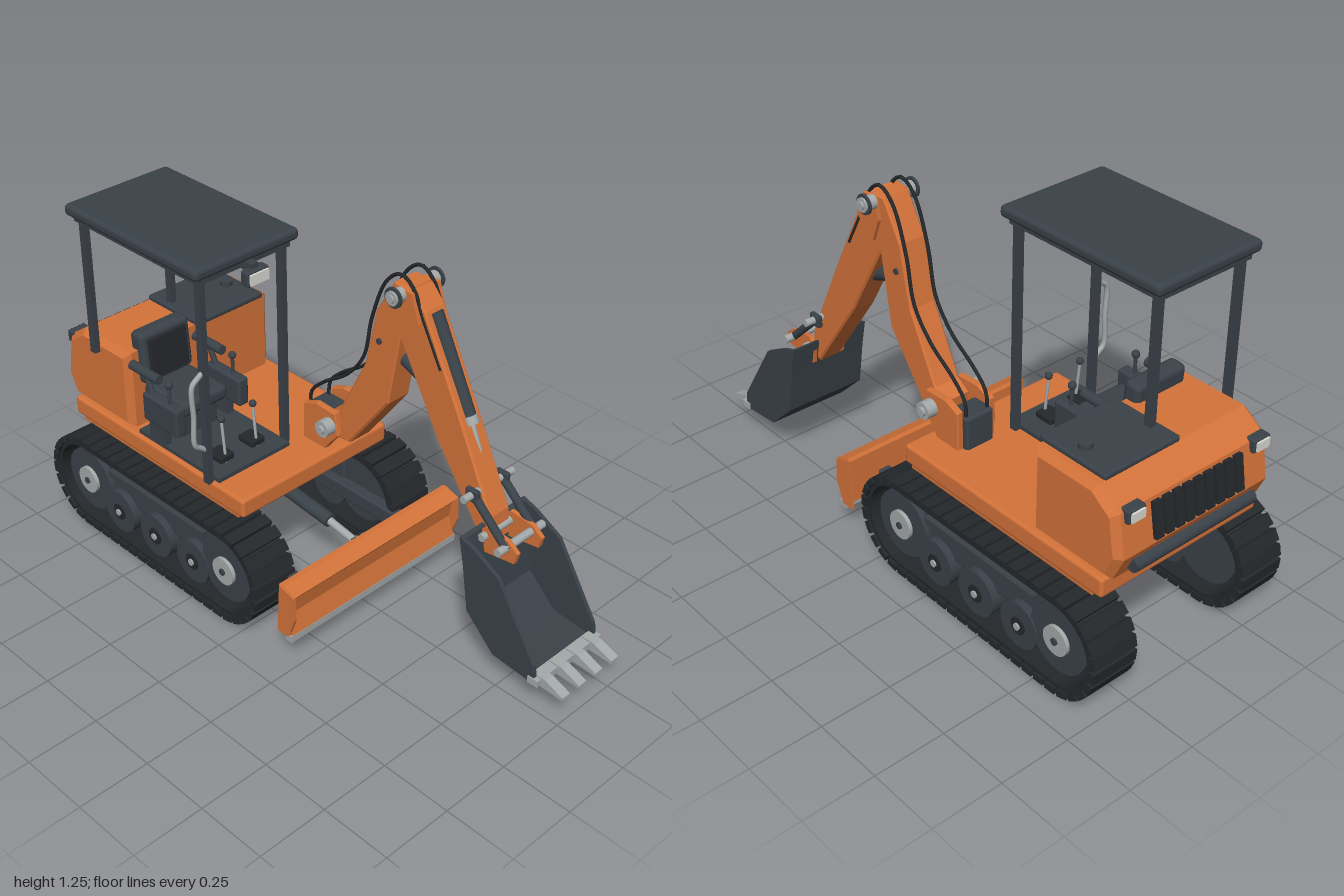
import * as THREE from 'three';
import { RoundedBoxGeometry } from 'three/addons/geometries/RoundedBoxGeometry.js';

export function createModel() {
  const model = new THREE.Group();
  const paint = (color) => new THREE.MeshStandardMaterial({ color });
  const orange = paint(0xd4733a), dark = paint(0x3a4249), black = paint(0x25282b);
  const steel = paint(0xa4a9aa), pale = paint(0xdcdcd4);
  let target = model;

  const add = (name, geo, mat) => {
    const m = new THREE.Mesh(geo, mat);
    m.name = name;
    target.add(m);
    return m;
  };
  // Box given by its ranges, optionally with rounded edges
  const box = (name, mat, [x0, x1], [y0, y1], [z0, z1], r = 0) => {
    const s = [x1 - x0, y1 - y0, z1 - z0];
    const m = add(name, r ? new RoundedBoxGeometry(...s, 2, r) : new THREE.BoxGeometry(...s), mat);
    m.position.set((x0 + x1) / 2, (y0 + y1) / 2, (z0 + z1) / 2);
    return m;
  };
  // Cylinder between two points
  const rod = (name, mat, a, b, r, sides = 20) => {
    const p = new THREE.Vector3(...a), q = new THREE.Vector3(...b), d = q.clone().sub(p);
    const m = add(name, new THREE.CylinderGeometry(r, r, d.length(), sides), mat);
    m.position.copy(p).add(q).multiplyScalar(0.5);
    m.quaternion.setFromUnitVectors(new THREE.Vector3(0, 1, 0), d.normalize());
    return m;
  };
  // Shape drawn in (z, y) and extruded from x0 to x1
  const extrude = (name, mat, shape, x0, x1, bevel = 0) => {
    const geo = new THREE.ExtrudeGeometry(shape, {
      depth: x1 - x0 - 2 * bevel, bevelEnabled: bevel > 0, bevelSize: bevel, bevelThickness: bevel,
      bevelOffset: -bevel, bevelSegments: 1, curveSegments: 24,
    });
    geo.translate(0, 0, -(x1 - x0) / 2 + bevel).rotateY(-Math.PI / 2).translate((x0 + x1) / 2, 0, 0);
    return add(name, geo, mat);
  };
  const slab = (name, mat, pts, x0, x1, bevel) =>
    extrude(name, mat, new THREE.Shape(pts.map((p) => new THREE.Vector2(...p))), x0, x1, bevel);
  const tube = (name, mat, pts, r) => add(name, new THREE.TubeGeometry(
    new THREE.CatmullRomCurve3(pts.map((p) => new THREE.Vector3(...p))), 48, r, 8), mat);
  const group = (name, build) => {
    target = new THREE.Group();
    target.name = name;
    model.add(target);
    build();
    target = model;
  };

  // Crawler tracks
  const zF = -0.1, zR = -0.82, yC = 0.18, len = zF - zR;
  const stadium = (C, r) => {
    const s = new C();
    s.absarc(zF, yC, r, -Math.PI / 2, Math.PI / 2, false);
    s.absarc(zR, yC, r, Math.PI / 2, Math.PI * 1.5, false);
    s.closePath();
    return s;
  };
  for (const side of [-1, 1]) {
    const span = (a, b) => (side > 0 ? [a, b] : [-b, -a]);
    const wheel = (name, mat, a, b, z, y, r) => rod(name, mat, [side * a, y, z], [side * b, y, z], r, 32);
    group(side > 0 ? 'leftTrack' : 'rightTrack', () => {
      const belt = stadium(THREE.Shape, 0.165);
      belt.holes.push(stadium(THREE.Path, 0.143));
      extrude('trackBelt', black, belt, ...span(0.235, 0.395));
      const R = 0.168, arc = Math.PI * R, total = 2 * (len + arc), n = 50;
      for (let i = 0; i < n; i++) {
        let s = (i / n) * total, z = zF, y = R, a = 0;
        const lower = s >= len + arc;
        if (lower) s -= len + arc;
        if (s < len) z = zF - s;
        else { a = (s - len) / R; z = zR - R * Math.sin(a); y = R * Math.cos(a); }
        if (lower) { z = zF + zR - z; y = -y; a += Math.PI; }
        const pad = add('trackPad', new THREE.BoxGeometry(0.175, 0.022, 0.04), black);
        pad.position.set(side * 0.317, yC + y, z);
        pad.rotation.x = -a;
      }
      for (const z of [zF, zR]) {
        wheel('endWheel', dark, 0.26, 0.375, z, 0.185, 0.117);
        wheel('wheelHub', steel, 0.37, 0.388, z, 0.185, 0.05);
        wheel('hubBolt', dark, 0.385, 0.394, z, 0.185, 0.012);
      }
      for (const z of [-0.265, -0.46, -0.655]) {
        wheel('roller', dark, 0.26, 0.38, z, 0.13, 0.08);
        wheel('rollerRim', black, 0.375, 0.384, z, 0.13, 0.03);
        wheel('rollerHub', steel, 0.38, 0.39, z, 0.13, 0.012);
      }
      box('trackFrame', dark, span(0.25, 0.355), [0.16, 0.315], [-0.74, -0.18], 0.01);
      box('trackFrameRail', dark, span(0.25, 0.375), [0.25, 0.275], [-0.71, -0.21]);
    });
  }

  // Undercarriage and dozer blade
  group('undercarriage', () => {
    box('crossFrame', dark, [-0.25, 0.25], [0.2, 0.33], [-0.68, -0.25], 0.01);
    box('framePlate', steel, [-0.23, 0.23], [0.325, 0.345], [-0.7, -0.2]);
    rod('turntable', dark, [0, 0.33, -0.46], [0, 0.39, -0.46], 0.26, 40);
    box('turntableSkirt', dark, [-0.26, 0.26], [0.355, 0.385], [-0.755, -0.16]);
  });
  group('dozerBlade', () => {
    slab('blade', orange, [[0.165, 0.285], [0.185, 0.285], [0.235, 0.265], [0.215, 0.24], [0.205, 0.18],
      [0.225, 0.1], [0.2, 0.09], [0.165, 0.12]], -0.38, 0.38);
    for (const x of [-0.385, 0.375]) slab('bladeEnd', orange,
      [[0.17, 0.285], [0.235, 0.265], [0.24, 0.18], [0.21, 0.095], [0.16, 0.095]], x, x + 0.01);
    box('cuttingEdge', steel, [-0.385, 0.385], [0.08, 0.105], [0.195, 0.225]);
    for (const s of [-1, 1]) {
      box('bladeArm', dark, [s * 0.243 - 0.023, s * 0.243 + 0.023], [0.14, 0.2], [-0.3, 0.17], 0.008);
      box('bladeLug', dark, [s * 0.02 + 0.015, s * 0.02 + 0.035], [0.15, 0.23], [0.11, 0.17]);
    }
    rod('liftBarrel', dark, [0.025, 0.25, -0.3], [0.025, 0.22, -0.02], 0.025);
    rod('liftRod', steel, [0.025, 0.22, -0.03], [0.025, 0.19, 0.15], 0.014);
    rod('liftPin', steel, [-0.015, 0.19, 0.14], [0.065, 0.19, 0.14], 0.012);
  });

  // Upper body
  group('upperBody', () => {
    box('deck', orange, [-0.325, 0.33], [0.385, 0.455], [-0.94, -0.06], 0.012);
    box('deckSill', orange, [-0.32, 0.325], [0.375, 0.4], [-0.9, -0.09]);
    slab('engineCover', orange, [[-0.635, 0.45], [-0.635, 0.745], [-0.88, 0.745], [-0.965, 0.685], [-0.99, 0.54],
      [-0.95, 0.45]], -0.315, 0.32, 0.022);
    box('coverLid', dark, [-0.02, 0.28], [0.74, 0.762], [-0.885, -0.62], 0.008);
    rod('fuelCap', dark, [0.225, 0.76, -0.75], [0.225, 0.78, -0.75], 0.022);
    // Rear grille, bumper and lamps
    for (let i = 0; i < 9; i++) {
      const slot = box('grilleSlot', black, [-0.185 + i * 0.042, -0.155 + i * 0.042], [0.555, 0.675], [-0.992, -0.966]);
      slot.rotation.x = 0.17;
    }
    rod('rearBumper', dark, [-0.25, 0.49, -0.975], [0.25, 0.49, -0.975], 0.024);
    for (const x of [-0.265, 0.25]) {
      box('rearLampHousing', dark, [x - 0.035, x + 0.035], [0.65, 0.695], [-0.985, -0.94], 0.006);
      box('rearLamp', pale, [x - 0.026, x + 0.026], [0.657, 0.688], [-0.992, -0.975]);
    }
    box('floorMat', dark, [-0.31, 0], [0.45, 0.47], [-0.6, -0.19]);
  });

  // Operator station, mirrored about the seat centre line
  const cx = -0.16;
  group('operatorStation', () => {
    box('seatBase', dark, [cx - 0.08, cx + 0.08], [0.46, 0.57], [-0.62, -0.46], 0.01);
    box('seatCushion', dark, [cx - 0.1, cx + 0.1], [0.565, 0.62], [-0.63, -0.42], 0.02);
    box('seatBack', dark, [cx - 0.105, cx + 0.105], [0.615, 0.805], [-0.675, -0.61], 0.02).rotation.x = -0.08;
    box('seatBackPad', black, [cx - 0.08, cx + 0.08], [0.64, 0.785], [-0.615, -0.6], 0.006).rotation.x = -0.08;
    for (const s of [-1, 1]) {
      const c = cx + s * 0.137;
      box('console', dark, [c - 0.022, c + 0.022], [0.535, 0.64], [-0.56, -0.385], 0.01);
      box('consoleStand', dark, [c - 0.014, c + 0.014], [0.46, 0.54], [-0.54, -0.46]);
      rod('armrest', dark, [c, 0.707, -0.49], [c, 0.707, -0.63], 0.017);
      rod('armrestPost', dark, [c, 0.64, -0.53], [c, 0.705, -0.56], 0.01);
      rod('joystick', dark, [c, 0.63, -0.44], [c, 0.7, -0.44], 0.006);
      add('joystickKnob', new THREE.SphereGeometry(0.014, 12, 8), dark).position.set(c, 0.71, -0.44);
      const t = cx + s * 0.068;
      rod('travelLever', steel, [t, 0.47, -0.25], [t, 0.62, -0.265], 0.005);
      add('leverKnob', new THREE.SphereGeometry(0.013, 12, 8), dark).position.set(t, 0.63, -0.265);
      box('pedal', black, [t - 0.03, t + 0.03], [0.475, 0.5], [-0.31, -0.24], 0.006);
    }
  });

  // Canopy
  group('canopy', () => {
    for (const x of [-0.325, 0.01]) {
      box('frontPost', dark, [x - 0.011, x + 0.011], [0.45, 1.21], [-0.238, -0.212]);
      box('rearPost', dark, [x - 0.011, x + 0.011], [0.7, 1.21], [-0.805, -0.779]);
    }
    box('roof', dark, [-0.37, 0.055], [1.207, 1.248], [-0.835, -0.185], 0.016);
    box('roofFrame', dark, [-0.345, 0.03], [1.185, 1.21], [-0.815, -0.205]);
    box('workLampHousing', dark, [-0.2, -0.112], [1.145, 1.195], [-0.18, -0.145], 0.006);
    box('workLamp', pale, [-0.193, -0.119], [1.152, 1.188], [-0.15, -0.138]);
    box('lampBracket', dark, [-0.17, -0.142], [1.18, 1.21], [-0.23, -0.16]);
    tube('grabHandle', steel, [[-0.325, 0.87, -0.225], [-0.35, 0.855, -0.225], [-0.373, 0.835, -0.225],
      [-0.373, 0.72, -0.225], [-0.373, 0.615, -0.225], [-0.35, 0.595, -0.225], [-0.325, 0.575, -0.225]], 0.009);
  });

  // Boom, arm and hydraulics
  const bx = 0.152;
  const pin = (name, y, z, half, r) => rod(name, steel, [bx - half, y, z], [bx + half, y, z], r);
  group('boomAndArm', () => {
    for (const s of [-1, 1]) slab('swingBracket', orange, [[-0.2, 0.45], [-0.2, 0.59], [-0.14, 0.615], [-0.05, 0.61],
      [-0.035, 0.53], [-0.07, 0.49], [-0.1, 0.45]], bx + s * 0.065 - 0.012, bx + s * 0.065 + 0.012, 0.003);
    box('swingPost', dark, [bx - 0.055, bx + 0.055], [0.44, 0.57], [-0.22, -0.13], 0.01);
    slab('boom', orange, [[0.255, 1.15], [0.235, 1.18], [0.175, 1.18], [0.1, 1.05], [0.055, 0.84], [-0.06, 0.61],
      [-0.11, 0.58], [-0.105, 0.53], [-0.07, 0.5], [-0.01, 0.505], [0.16, 0.735], [0.205, 1.0]], bx - 0.05, bx + 0.05, 0.006);
    slab('arm', orange, [[0.25, 1.18], [0.185, 1.16], [0.195, 1.0], [0.365, 0.7], [0.575, 0.405], [0.61, 0.43],
      [0.6, 0.52], [0.46, 0.81], [0.3, 1.12]], bx - 0.045, bx + 0.045, 0.006);
    for (const s of [-1, 1]) {
      const x = bx + s * 0.057;
      slab('armCheek', orange, [[0.26, 1.175], [0.2, 1.175], [0.19, 1.1], [0.22, 1.02], [0.29, 1.08]], x - 0.006, x + 0.006);
      rod('boomPivotBoss', steel, [bx + s * 0.075, 0.557, -0.075], [bx + s * 0.115, 0.557, -0.075], 0.03);
      rod('elbowBoss', steel, [bx + s * 0.06, 1.158, 0.215], [bx + s * 0.105, 1.158, 0.215], 0.024);
      rod('elbowFlange', dark, [bx + s * 0.09, 1.158, 0.215], [bx + s * 0.098, 1.158, 0.215], 0.034);
      // Hoses over the elbow
      const h = bx + s * 0.043;
      tube('hose', black, [[h, 0.95, 0.37], [h, 1.1, 0.29], [h, 1.18, 0.25], [h, 1.212, 0.2], [h, 1.17, 0.14], [h, 1.02, 0.08],
        [h, 0.86, 0.045], [h, 0.76, -0.03], [h, 0.68, -0.14], [h, 0.62, -0.195], [h, 0.53, -0.2]], 0.006);
      rod('bucketLink', dark, [bx + s * 0.068, 0.595, 0.545], [bx + s * 0.068, 0.46, 0.69], 0.014);
      box('linkCollar', dark, [bx + s * 0.07 - 0.01, bx + s * 0.07 + 0.01], [0.57, 0.615], [0.52, 0.57], 0.006);
    }
    pin('boomPivotPin', 0.557, -0.075, 0.125, 0.016);
    pin('elbowPin', 1.158, 0.215, 0.112, 0.014);
    pin('linkPin', 0.595, 0.545, 0.115, 0.013);
    pin('bucketPin', 0.465, 0.6, 0.085, 0.014);
    pin('bucketLinkPin', 0.465, 0.685, 0.108, 0.014);
    rod('bucketCylinderBarrel', dark, [bx, 1.11, 0.305], [bx, 0.79, 0.465], 0.022);
    rod('bucketCylinderCap', steel, [bx, 0.81, 0.455], [bx, 0.785, 0.468], 0.024);
    rod('bucketCylinderRod', steel, [bx, 0.8, 0.46], [bx, 0.595, 0.545], 0.011);
    rod('armCylinder', dark, [bx, 0.915, 0.14], [bx, 0.855, 0.29], 0.025);
    rod('boomCylinderPin', dark, [bx - 0.057, 0.95, 0.12], [bx + 0.057, 0.95, 0.12], 0.01);
  });

  // Bucket, open to the front
  group('bucket', () => {
    const sidePts = [[0.57, 0.49], [0.59, 0.39], [0.615, 0.225], [0.73, 0.115], [0.9, 0.1], [0.89, 0.165], [0.73, 0.415], [0.63, 0.47]];
    for (const x of [0, 0.291]) slab('bucketSide', dark, sidePts, x, x + 0.014);
    slab('bucketShell', dark, [...sidePts.slice(0, 5), [0.9, 0.115], [0.737, 0.13], [0.629, 0.232], [0.604, 0.392], [0.585, 0.485]],
      0.004, 0.301);
    for (const s of [-1, 1]) slab('bucketEar', orange, [[0.585, 0.4], [0.575, 0.47], [0.6, 0.5], [0.69, 0.49], [0.73, 0.46],
      [0.72, 0.42]], bx + s * 0.058 - 0.008, bx + s * 0.058 + 0.008);
    box('bucketLip', steel, [-0.005, 0.31], [0.1, 0.124], [0.875, 0.915]);
    for (let i = 0; i < 4; i++) {
      const x = 0.032 + i * 0.08;
      slab('bucketTooth', steel, [[0.88, 0.095], [1, 0.09], [1, 0.1], [0.93, 0.128], [0.88, 0.13]], x - 0.018, x + 0.018);
    }
  });

  return model;
}
